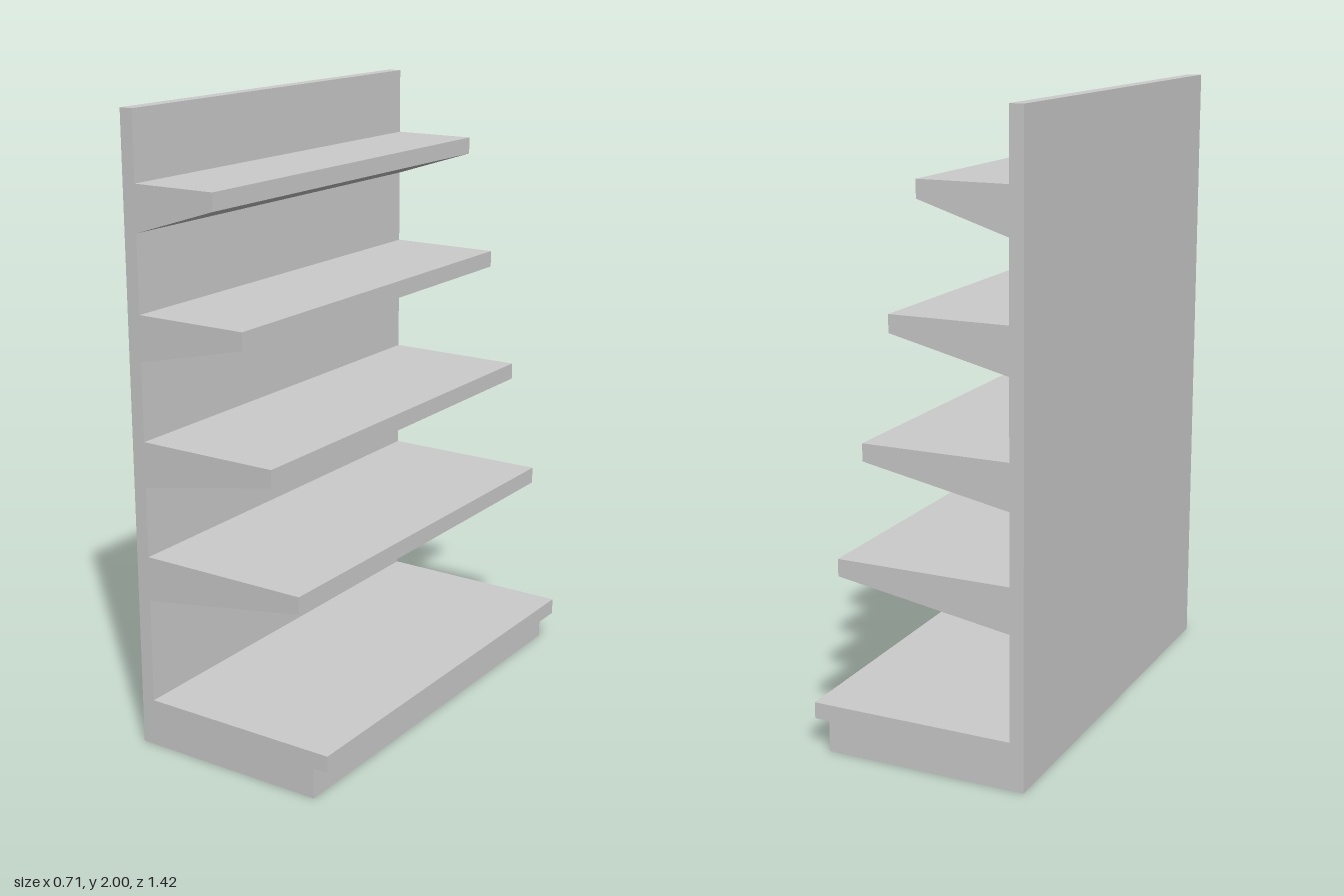
import * as THREE from 'three';

const WIDTH = 1.42; // length of the unit along z
const BACK = -0.355; // outer face of the back panel
const WALL = -0.31; // inner face of the back panel

const material = new THREE.MeshStandardMaterial({ color: 0xcccccc, flatShading: true });

// Extrudes an x-y outline along the full width, centred on z = 0
function addProfile(group, name, points) {
  const shape = new THREE.Shape(points.map(([x, y]) => new THREE.Vector2(x, y)));
  const geometry = new THREE.ExtrudeGeometry(shape, { depth: WIDTH, bevelEnabled: false });
  geometry.translate(0, 0, -WIDTH / 2);
  const mesh = new THREE.Mesh(geometry, material);
  mesh.name = name;
  group.add(mesh);
}

export function createModel() {
  const group = new THREE.Group();
  group.name = 'shelvingUnit';

  // Upright back panel
  addProfile(group, 'backPanel', [[BACK, 0], [WALL, 0], [WALL, 2], [BACK, 2]]);

  // Base with recessed plinth under an overhanging deck
  addProfile(group, 'baseShelf', [
    [WALL, 0], [0.305, 0], [0.305, 0.1], [0.355, 0.1], [0.355, 0.153], [WALL, 0.153],
  ]);

  // Tapered shelves, shorter towards the top: [front edge x, top y]
  const shelves = [[0.258, 0.635], [0.165, 1.005], [0.07, 1.397], [-0.025, 1.785]];
  shelves.forEach(([front, top], i) => {
    addProfile(group, `shelf${i + 1}`, [
      [WALL, top - 0.145], [front, top - 0.055], [front, top], [WALL, top],
    ]);
  });

  return group;
}
